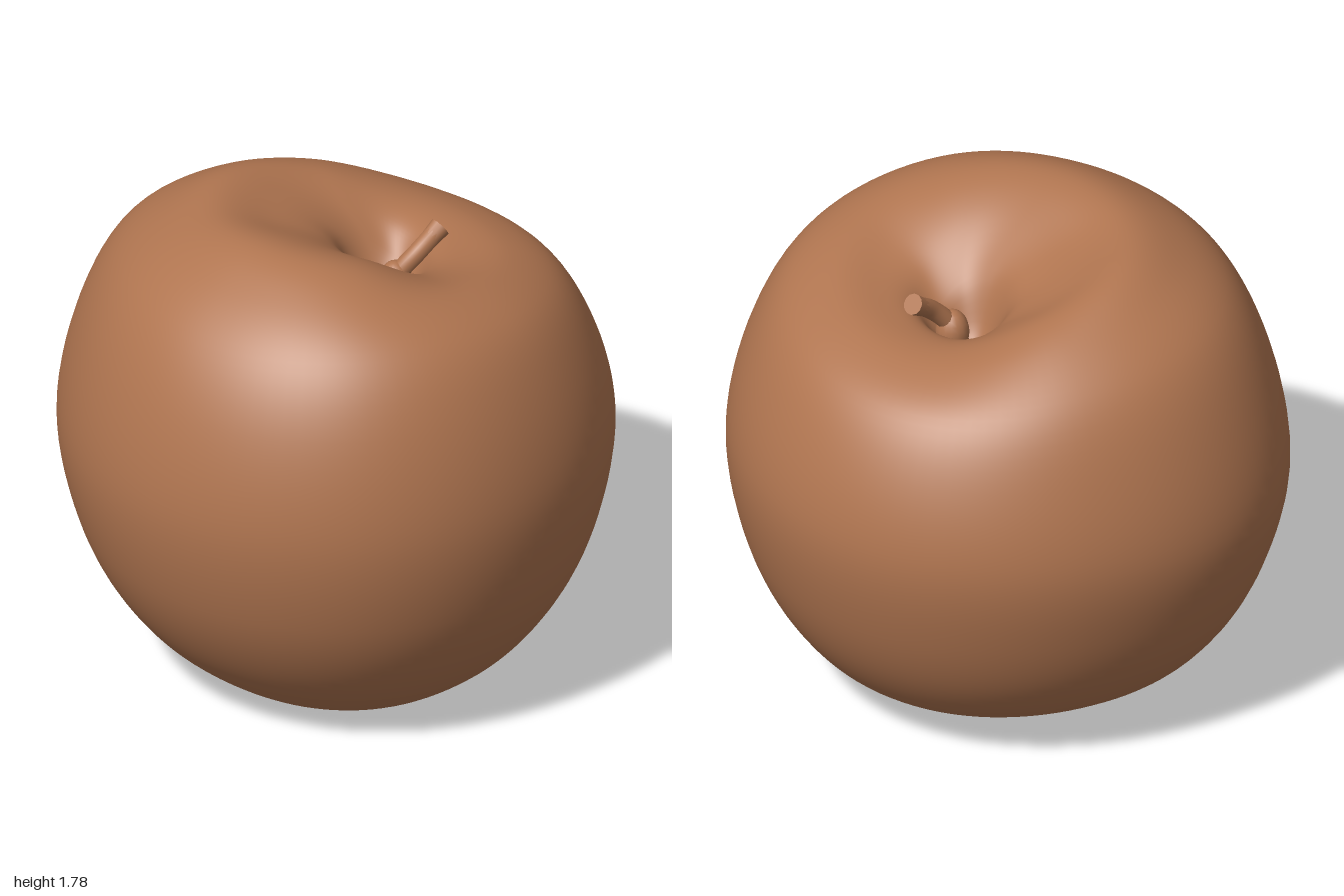
import * as THREE from 'three';

const skin = new THREE.MeshStandardMaterial({ color: 0xb07550 });
skin.name = 'warm brown';

const SEGMENTS = 96;
const STEPS = 110;

// Smooth periodic interpolation of evenly spaced values, u in 0..1
function around(values, u) {
  const n = values.length;
  const f = u * n;
  const i = Math.floor(f);
  const t = f - i;
  const [a, b, c, d] = [-1, 0, 1, 2].map((k) => values[(i + k + n) % n]);
  return b + 0.5 * t * (c - a + t * (2 * a - 5 * b + 4 * c - d + t * (3 * (b - c) + d - a)));
}

// Outline radius in eight directions: +x, +x+z, +z, -x+z, -x, -x-z, -z, +x-z
const outline = [0.98, 0.985, 1.0, 1.02, 0.978, 0.955, 1.0, 0.97];

// Rings from stem pit to equator: scale, centre x, centre z, heights around the ring
const upperRings = [
  [0, 0.17, 0.08, [1.33]],
  [0.06, 0.17, 0.08, [1.36]],
  [0.15, 0.15, 0.06, [1.44, 1.43, 1.45, 1.52, 1.58, 1.59, 1.56, 1.5]],
  [0.3, 0.08, 0.02, [1.52, 1.52, 1.56, 1.69, 1.73, 1.7, 1.68, 1.61]],
  [0.45, 0.03, 0, [1.55, 1.55, 1.61, 1.75, 1.78, 1.755, 1.74, 1.66]],
  [0.62, 0, 0, [1.53, 1.55, 1.63, 1.7, 1.7, 1.69, 1.67, 1.62]],
  [0.8, 0, 0, [1.435, 1.46, 1.54, 1.57, 1.55, 1.55, 1.53, 1.48]],
  [0.93, 0, 0, [1.23, 1.25, 1.31, 1.33, 1.31, 1.3, 1.26, 1.23]],
  [1, 0, 0, [0.93, 0.95, 0.95, 0.95, 0.95, 0.93, 0.89, 0.91]],
];

// Rings from below the equator to the calyx pit
const lowerRings = [
  [0.94, 0, 0, [0.6, 0.58, 0.6, 0.6]],
  [0.82, 0, 0, [0.34, 0.32, 0.35, 0.35]],
  [0.65, 0, 0, [0.155, 0.12, 0.155, 0.17]],
  [0.45, -0.01, 0, [0.065, 0.01, 0.04, 0.1]],
  [0.28, 0.02, -0.04, [0.08, 0.03, 0.06, 0.12]],
  [0.14, 0.04, -0.06, [0.16]],
  [0.06, 0.04, -0.07, [0.24]],
  [0, 0.04, -0.07, [0.26]],
];

function bodyGeometry() {
  const rings = [...upperRings, ...lowerRings];
  const positions = [];
  const index = [];
  const p = new THREE.Vector3();
  for (let j = 0; j < SEGMENTS; j++) {
    const u = j / SEGMENTS;
    const angle = u * Math.PI * 2;
    const r = around(outline, u);
    const column = new THREE.CatmullRomCurve3(rings.map(([s, cx, cz, heights], k) => {
      // Faint puckering inside the calyx pit
      const pucker = k > 12 && s > 0.1 ? 0.004 * Math.cos(9 * angle) : 0;
      return new THREE.Vector3(
        cx + Math.cos(angle) * r * s,
        around(heights, u) + pucker,
        cz + Math.sin(angle) * r * s,
      );
    }));
    for (let i = 0; i <= STEPS; i++) {
      column.getPoint(i / STEPS, p);
      positions.push(p.x, Math.max(p.y, 0), p.z);
      if (i < STEPS) {
        const a = j * (STEPS + 1) + i;
        const c = ((j + 1) % SEGMENTS) * (STEPS + 1) + i;
        index.push(a, c, a + 1, c, c + 1, a + 1);
      }
    }
  }
  const geometry = new THREE.BufferGeometry();
  geometry.setAttribute('position', new THREE.Float32BufferAttribute(positions, 3));
  geometry.setIndex(index);
  geometry.computeVertexNormals();
  return geometry;
}

function createStem() {
  const stem = new THREE.Group();
  stem.name = 'stem';
  const path = new THREE.CatmullRomCurve3([
    new THREE.Vector3(0.16, 1.33, 0.1),
    new THREE.Vector3(0.19, 1.45, 0.14),
    new THREE.Vector3(0.25, 1.53, 0.185),
    new THREE.Vector3(0.32, 1.58, 0.205),
  ]);
  const shaft = new THREE.Mesh(new THREE.TubeGeometry(path, 20, 0.034, 12), skin);
  shaft.name = 'stemShaft';

  // Slightly flared, cut end
  const tip = new THREE.Mesh(new THREE.CylinderGeometry(0.038, 0.033, 0.06, 12), skin);
  tip.name = 'stemTip';
  tip.position.copy(path.getPoint(1));
  tip.quaternion.setFromUnitVectors(new THREE.Vector3(0, 1, 0), path.getTangent(1));

  // Swollen foot where the stem leaves the pit
  const foot = new THREE.Mesh(new THREE.SphereGeometry(0.06, 16, 12), skin);
  foot.name = 'stemFoot';
  foot.scale.y = 1.4;
  foot.position.set(0.185, 1.42, 0.135);
  stem.add(shaft, tip, foot);
  return stem;
}

// Dried sepals at the bottom of the lower pit
function createCalyx() {
  const calyx = new THREE.Group();
  calyx.name = 'calyx';
  calyx.position.set(0.04, 0.22, -0.07);
  for (let i = 0; i < 5; i++) {
    const angle = (i / 5) * Math.PI * 2;
    const sepal = new THREE.Mesh(new THREE.SphereGeometry(0.03, 12, 8), skin);
    sepal.name = 'sepal';
    sepal.scale.y = 1.8;
    sepal.position.set(Math.cos(angle) * 0.028, -0.01, Math.sin(angle) * 0.028);
    sepal.quaternion.setFromUnitVectors(
      new THREE.Vector3(0, 1, 0),
      new THREE.Vector3(Math.cos(angle) * 0.4, -1, Math.sin(angle) * 0.4).normalize(),
    );
    calyx.add(sepal);
  }
  return calyx;
}

export function createModel() {
  const model = new THREE.Group();
  model.name = 'apple';
  const body = new THREE.Mesh(bodyGeometry(), skin);
  body.name = 'fruitBody';
  model.add(body, createStem(), createCalyx());
  return model;
}
